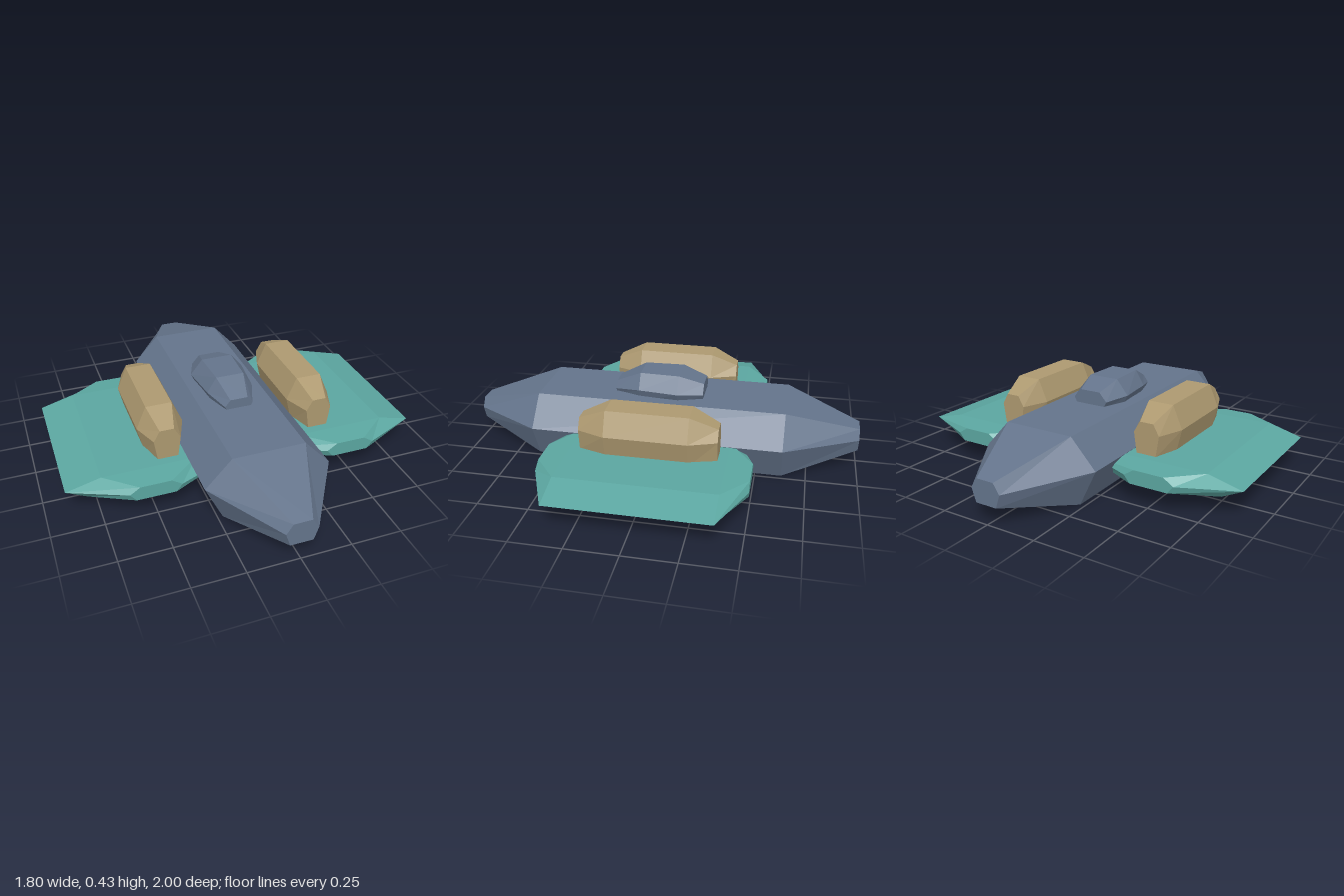
import * as THREE from 'three';

// Six-sided loft along z, back to front.
// Station: [z, topHalf, topY, sideHalf, sideY, bottomHalf, bottomY]
function hexLoft(stations) {
  const rings = stations.map(([z, t, ty, s, sy, b, by]) => [
    [s, sy, z], [t, ty, z], [-t, ty, z], [-s, sy, z], [-b, by, z], [b, by, z],
  ]);
  const pos = [];
  const tri = (a, b, c) => pos.push(...a, ...b, ...c);
  for (let i = 0; i < rings.length - 1; i++) {
    const a = rings[i], b = rings[i + 1];
    for (let j = 0; j < 6; j++) {
      const k = (j + 1) % 6;
      tri(a[j], a[k], b[j]);
      tri(a[k], b[k], b[j]);
    }
  }
  // End caps
  const back = rings[0], front = rings[rings.length - 1];
  for (let j = 1; j < 5; j++) {
    tri(front[0], front[j], front[j + 1]);
    tri(back[0], back[j + 1], back[j]);
  }
  const g = new THREE.BufferGeometry();
  g.setAttribute('position', new THREE.Float32BufferAttribute(pos, 3));
  g.computeVertexNormals();
  return g;
}

// Body with the same taper at both ends
function symmetricLoft(zMid, mid, zEnd, end) {
  return hexLoft([[-zEnd, ...end], [-zMid, ...mid], [zMid, ...mid], [zEnd, ...end]]);
}

export function createModel() {
  const model = new THREE.Group();
  model.name = 'spaceship';

  const material = (name, color) => {
    const m = new THREE.MeshStandardMaterial({ color });
    m.name = name;
    return m;
  };
  const slate = material('slate', 0x64748b);
  const teal = material('teal', 0x5ba6a0);
  const tan = material('tan', 0xad9970);

  const add = (name, geometry, mat, x = 0) => {
    const mesh = new THREE.Mesh(geometry, mat);
    mesh.name = name;
    mesh.position.x = x;
    model.add(mesh);
  };

  // Hull
  add('hull', symmetricLoft(
    0.63, [0.18, 0.32, 0.31, 0.18, 0.225, 0],
    1.0, [0.045, 0.207, 0.077, 0.158, 0.055, 0.092]), slate);

  // Cockpit on top of the hull
  add('cockpit', hexLoft([
    [-0.21, 0.055, 0.39, 0.095, 0.345, 0.07, 0.30],
    [-0.085, 0.08, 0.432, 0.142, 0.355, 0.11, 0.29],
    [0.115, 0.072, 0.432, 0.12, 0.355, 0.095, 0.29],
    [0.245, 0.045, 0.37, 0.072, 0.335, 0.055, 0.30],
  ]), slate);

  // Wings and the pods that sit on them
  const wing = symmetricLoft(
    0.38, [0.23, 0.178, 0.4, 0.135, 0.3, 0.086],
    0.5, [0.075, 0.168, 0.125, 0.135, 0.095, 0.098]);
  const pod = symmetricLoft(
    0.2, [0.065, 0.395, 0.115, 0.28, 0.085, 0.15],
    0.335, [0.035, 0.335, 0.066, 0.28, 0.05, 0.172]);
  for (const [side, s] of [['left', 1], ['right', -1]]) {
    add(side + 'Wing', wing, teal, 0.5 * s);
    add(side + 'Pod', pod, tan, 0.395 * s);
  }
  return model;
}
